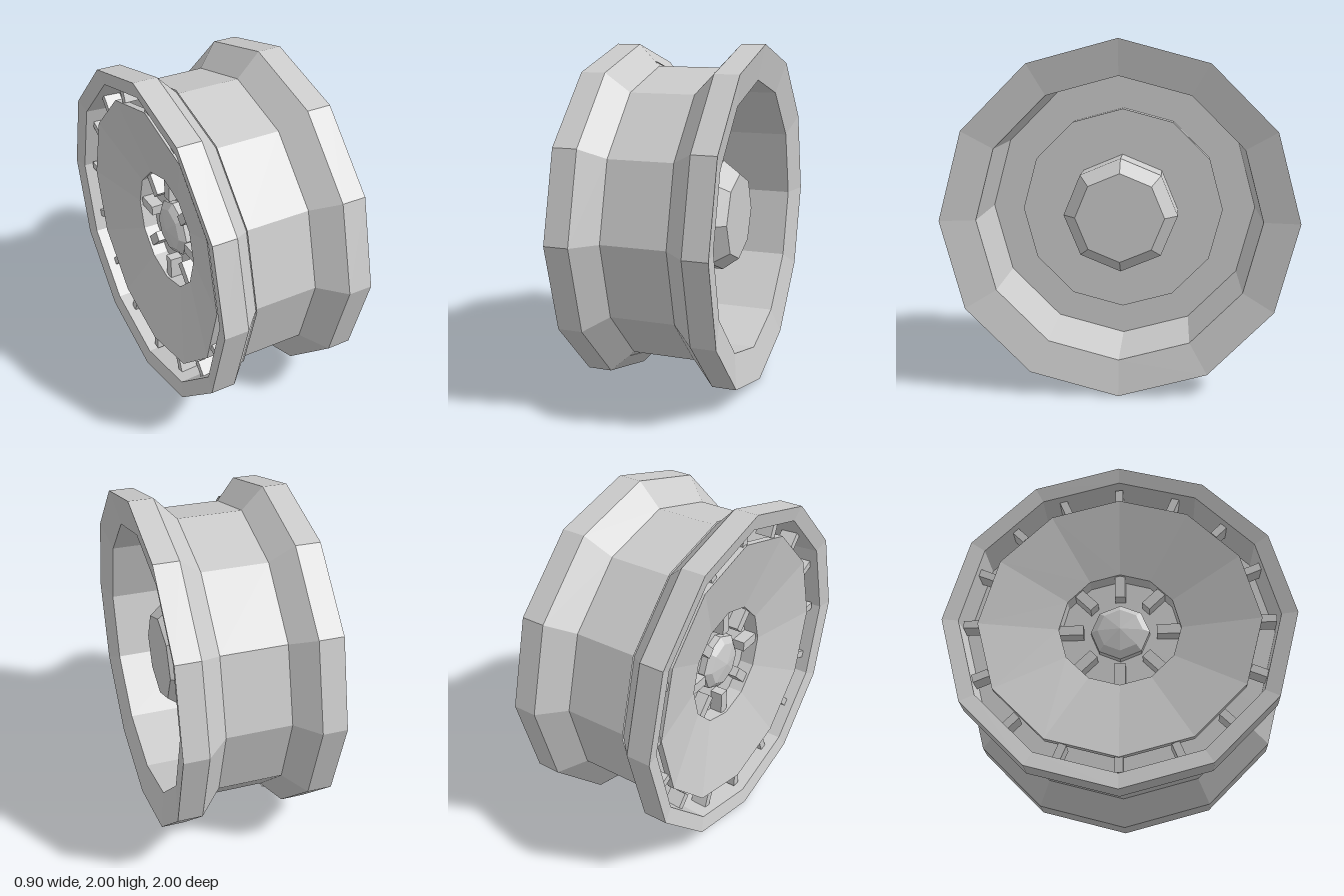
import * as THREE from 'three';

const material = new THREE.MeshStandardMaterial({ color: 0xcccccc, flatShading: true });

export function createModel() {
  const model = new THREE.Group();
  const wheel = new THREE.Group();
  wheel.name = 'wheel';
  wheel.position.y = 1;
  model.add(wheel);

  // Faceted solid turned about the x axis; profile points are [radius, x]
  function turned(name, sides, profile) {
    const points = profile.map(([r, x]) => new THREE.Vector2(r, x));
    const geometry = new THREE.LatheGeometry(points, sides);
    geometry.rotateZ(-Math.PI / 2);
    const mesh = new THREE.Mesh(geometry, material);
    mesh.name = name;
    wheel.add(mesh);
  }

  // Ring of blocks standing between two radii around the x axis
  function lugRing(name, count, x, inner, outer, depth, width) {
    const ring = new THREE.Group();
    ring.name = name;
    const geometry = new THREE.BoxGeometry(depth, outer - inner, width);
    geometry.translate(x, (inner + outer) / 2, 0);
    for (let i = 0; i < count; i++) {
      const lug = new THREE.Mesh(geometry, material);
      lug.name = 'lug';
      lug.rotation.x = (i / count) * Math.PI * 2;
      ring.add(lug);
    }
    wheel.add(ring);
  }

  // Rim: inner recess, waisted outside, deep dish and stepped web
  turned('rim', 12, [
    [0, -0.2], [0.89, -0.2], [0.9, -0.43], [0.99, -0.45],
    [0.99, -0.31], [0.865, -0.19], [0.865, 0.18], [1, 0.31],
    [1, 0.45], [0.8, 0.41], [0.8, -0.14], [0.6, -0.14],
    [0.6, -0.03], [0, -0.03],
  ]);

  // Eight-sided hub standing in the dish
  turned('hubCap', 8, [
    [0.33, -0.05], [0.33, 0.21], [0.255, 0.31], [0, 0.31],
  ]);

  // Shallow cone cover on the inner side, open in the middle
  turned('coverDisc', 12, [
    [0.35, -0.2], [0.35, -0.29], [0.8, -0.39], [0.8, -0.35], [0.35, -0.24],
  ]);

  // Small pointed boss in the middle of the cover
  turned('axleBoss', 8, [
    [0, -0.29], [0.13, -0.27], [0.17, -0.24], [0.17, -0.19],
  ]);

  // Lugs around the cover and around the boss
  lugRing('outerLugs', 16, -0.33, 0.78, 0.88, 0.1, 0.045);
  lugRing('innerLugs', 8, -0.235, 0.21, 0.36, 0.08, 0.06);

  return model;
}
